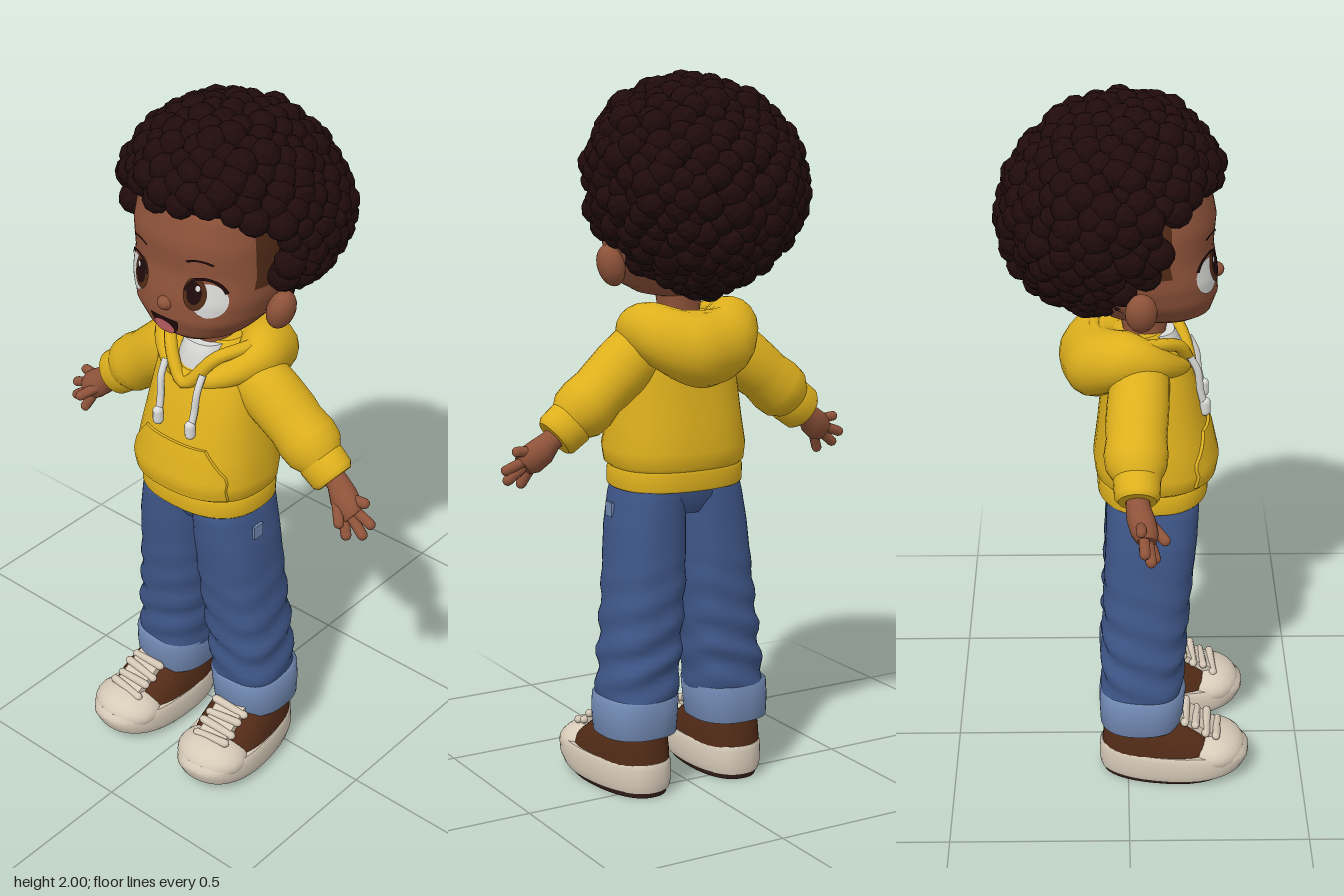
import * as THREE from 'three';
import { mergeGeometries } from 'three/addons/utils/BufferGeometryUtils.js';

const mat = (name, color) => {
  const m = new THREE.MeshStandardMaterial({ color });
  m.name = name;
  return m;
};
const V = (x, y, z) => new THREE.Vector3(x, y, z);
const pw = (v, e) => Math.sign(v) * Math.abs(v) ** e;

// Superellipse ring around c, spanned by u and v
function ring(c, u, v, ru, rv, n = 32, p = 2) {
  return Array.from({ length: n }, (_, i) => {
    const a = (i / n) * Math.PI * 2;
    return c.clone().addScaledVector(u, ru * pw(Math.cos(a), 2 / p)).addScaledVector(v, rv * pw(Math.sin(a), 2 / p));
  });
}

// Skin over a list of rings, with capped ends
function loft(rings, caps = true) {
  const n = rings[0].length, pos = rings.flat().flatMap(q => [q.x, q.y, q.z]), idx = [];
  for (let r = 0; r < rings.length - 1; r++) for (let i = 0; i < n; i++) {
    const a = r * n + i, b = r * n + (i + 1) % n;
    idx.push(a, a + n, b, b, a + n, b + n);
  }
  if (caps) [rings[0], rings.at(-1)].forEach((rg, end) => {
    const s = pos.length / 3, c = rg.reduce((t, q) => t.add(q), V(0, 0, 0)).divideScalar(n);
    [...rg, c].forEach(q => pos.push(q.x, q.y, q.z));
    for (let i = 0; i < n; i++) {
      const j = (i + 1) % n;
      idx.push(s + n, s + (end ? j : i), s + (end ? i : j));
    }
  });
  const g = new THREE.BufferGeometry();
  g.setAttribute('position', new THREE.Float32BufferAttribute(pos, 3));
  g.setIndex(idx);
  g.computeVertexNormals();
  return g;
}

// Upright body from rows [y, half width, front z, back z, centre x]
const X = V(1, 0, 0), Y = V(0, 1, 0), Z = V(0, 0, 1), P = 2.4;
const stack = (rows, n = 40) => loft(rows.map(([y, rx, zf, zb, cx = 0]) => ring(V(cx, y, (zf + zb) / 2), X, Z, rx, (zf - zb) / 2, n, P)));
const dense = (rows, k) => rows.flatMap((r, i) => i === rows.length - 1 ? [r]
  : Array.from({ length: k }, (_, j) => r.map((v, c) => v + (rows[i + 1][c] - v) * j / k)));
function frontZ(rows, x, y) {
  let i = 0;
  while (i < rows.length - 2 && y > rows[i + 1][0]) i++;
  const t = (y - rows[i][0]) / (rows[i + 1][0] - rows[i][0]);
  const [, rx, zf, zb] = rows[i].map((v, c) => v + (rows[i + 1][c] - v) * t);
  return (zf + zb) / 2 + (zf - zb) / 2 * Math.max(0, 1 - Math.abs(x / rx) ** P) ** (1 / P);
}
// Move every vertex by a rule
function bend(g, rule) {
  const p = g.attributes.position, q = V(0, 0, 0);
  for (let i = 0; i < p.count; i++) {
    rule(q.fromBufferAttribute(p, i));
    p.setXYZ(i, q.x, q.y, q.z);
  }
  g.computeVertexNormals();
  return g;
}
function mirror(g) {
  const m = g.clone().scale(-1, 1, 1), a = m.index.array;
  for (let i = 0; i < a.length; i += 3) [a[i], a[i + 1]] = [a[i + 1], a[i]];
  return m;
}
// Limb in the xy plane from rows [x, y, z, radius, depth radius]
function limb(rows, n = 24) {
  const pts = rows.map(r => V(r[0], r[1], r[2]));
  return loft(pts.map((c, i) => {
    const d = pts[Math.min(i + 1, pts.length - 1)].clone().sub(pts[Math.max(i - 1, 0)]).setZ(0).normalize();
    return ring(c, V(d.y, -d.x, 0), Z, rows[i][3], rows[i][4] ?? rows[i][3], n);
  }));
}
const tube = (pts, r, closed = false) => new THREE.TubeGeometry(
  new THREE.CatmullRomCurve3(pts.map(p => V(...p)), closed), closed ? 48 : 12, r, 8, closed);
const ball = (x, y, z, a, b, c) => new THREE.SphereGeometry(1, 20, 14).scale(a, b, c).translate(x, y, z);

export function createModel() {
  const root = new THREE.Group();
  const hair = mat('hair', 0x200b0c), skin = mat('skin', 0x8f533a), yellow = mat('hoodie yellow', 0xdeb01d),
    denim = mat('denim', 0x3e5688), cuffBlue = mat('light denim', 0x7189b3), cream = mat('cream rubber', 0xd6cab8),
    brown = mat('brown suede', 0x522b17), white = mat('white', 0xdadad8), pink = mat('tongue pink', 0xd06a70),
    tread = mat('dark tread', 0x38201a);
  const add = (name, g, m) => {
    const mesh = new THREE.Mesh(g, m);
    mesh.name = name;
    root.add(mesh);
  };
  const both = (name, g, m) => { add(name + 'Left', g, m); add(name + 'Right', mirror(g), m); };

  // Head, with faded hair at the temples
  const headRows = dense([[1.385, .04, .15, .02], [1.395, .09, .19, -.02], [1.42, .138, .222, -.08], [1.47, .183, .238, -.12],
    [1.53, .202, .236, -.15], [1.6, .206, .224, -.17], [1.68, .206, .23, -.17], [1.77, .193, .212, -.15], [1.86, .14, .15, -.1]], 4);
  const head = stack(headRows, 56), hp = head.attributes.position, parts = [[], []];
  for (let i = 0; i < head.index.count; i += 6) {
    const quad = [0, 1, 2, 3, 4, 5].map(k => head.index.getX(i + k));
    const [x, y, z] = ['getX', 'getY', 'getZ'].map(f => quad.reduce((s, k) => s + hp[f](k) / 6, 0));
    parts[Math.abs(x) > .14 && y > 1.57 && z < .11 ? 1 : 0].push(...quad);
  }
  parts.forEach((idx, i) => add(i ? 'templeFade' : 'head', head.clone().setIndex(idx), i ? brown : skin));
  add('nose', ball(0, 1.51, .233, .022, .02, .022), skin);
  both('ear', ball(0, 0, 0, .036, .058, .042).rotateZ(-.3).translate(.217, 1.483, .032), skin);
  add('neck', stack([[1.24, .062, .11, -.03], [1.33, .052, .1, -.01], [1.42, .06, .12, -.03]]), skin);

  // Painted face, draped over the head
  const decal = (cx, cy, rx, ry, lift, a0 = 0, span = Math.PI * 2, inner = 0) =>
    bend(new THREE.RingGeometry(inner, 1, 28, 4, a0, span), q => {
      q.x = cx + q.x * rx;
      q.y = cy + q.y * ry;
      q.z = frontZ(headRows, q.x, q.y) + lift;
    });
  both('eyeWhite', decal(.122, 1.546, .042, .048, .003), white);
  both('iris', decal(.09, 1.562, .031, .045, .005), brown);
  both('pupil', decal(.09, 1.565, .02, .031, .007), hair);
  both('eyeGlint', decal(.1, 1.581, .006, .008, .009), white);
  both('upperLash', decal(.113, 1.55, .055, .062, .006, .35, 2.5, .86), hair);
  both('eyebrow', decal(.1, 1.635, .045, .025, .004, .6, 1.9, .78), hair);
  add('mouth', decal(0, 1.472, .046, .055, .004, Math.PI, Math.PI), hair);
  add('tongue', decal(-.004, 1.44, .034, .023, .007), pink);

  // Hair: an inner cap cut open at the face, covered in curl clumps
  const hairPoint = (q, s) => q.set(q.x * .278 * s * (q.y < 0 ? 1 - .35 * q.y * q.y : 1), 1.69 + q.y * (q.y < 0 ? .265 : .27) * s,
    -.045 + q.z * .27 * s + q.y * (q.y < 0 ? .01 : .04));
  add('hairCap', bend(new THREE.SphereGeometry(1, 40, 48), q => {
    hairPoint(q, .98);
    if (q.y < 1.765) q.z = Math.min(q.z, q.y < 1.57 ? -.02 : .03);
  }), hair);
  let seed = 7;
  const rnd = () => (seed = (seed * 16807) % 2147483647) / 2147483647;
  const curls = [], count = 400;
  for (let i = 0; i < count; i++) {
    const y = 1 - 2 * (i + .5) / count, r = Math.sqrt(1 - y * y), a = i * 2.39996 + rnd() * .12;
    const c = hairPoint(V(r * Math.cos(a), y, r * Math.sin(a)), .97 + rnd() * .045);
    const size = .033 + rnd() * .012, turn = rnd() * 6;
    const hairline = 1.78 - .4 * Math.max(0, Math.abs(c.x) - .12);
    if ((c.y < hairline && c.z > .075) || (c.y < 1.57 && c.z > -.01)) continue;
    curls.push(new THREE.IcosahedronGeometry(size, 1).rotateX(turn).rotateY(turn * 2).translate(c.x, c.y, c.z));
  }
  const clumps = mergeGeometries(curls);
  clumps.computeVertexNormals();
  add('hairCurls', clumps, hair);

  // Hoodie body, hem and pouch pocket
  const torso = [[.915, .18, .212, -.078], [.928, .195, .235, -.09], [.97, .2, .243, -.095], [1.05, .187, .225, -.085],
    [1.15, .172, .195, -.075], [1.24, .158, .168, -.07], [1.3, .135, .13, -.065], [1.345, .08, .09, -.05]];
  add('hoodieBody', stack(torso), yellow);
  add('hoodieHem', stack([[.862, .185, .216, -.08], [.868, .19, .222, -.084], [.912, .19, .222, -.086], [.922, .18, .212, -.08]]), yellow);
  add('pouchPocket', bend(new THREE.BoxGeometry(2, 1, .016, 16, 8, 1), q => {
    const t = q.y + .5, lift = q.z;
    q.x *= t < .45 ? .165 : .165 - (t - .45) * .11;
    q.y = .935 + t * .145;
    q.z = frontZ(torso, q.x, q.y) + lift;
  }), yellow);

  // Hood lying around the neck
  const hood = [];
  for (let i = 0; i <= 48; i++) {
    const a = (i / 48) * Math.PI * 2, s = Math.sin(a), c = Math.cos(a), t = (1 - c) / 2;
    const fold = 1 + .04 * Math.sin(a * 9) * t;
    hood.push(ring(V(.135 * s, 1.242 + .062 * s * s + .012 * t, .03 + .115 * c), V(s, 0, c), Y,
      (.027 + .073 * t) * fold, .026 + .078 * t, 18));
  }
  add('hood', loft(hood, false), yellow);
  add('hoodRim', tube([[0, 1.237, .168], [.08, 1.325, .13], [.135, 1.35, .03], [.08, 1.348, -.06], [0, 1.345, -.09],
    [-.08, 1.348, -.06], [-.135, 1.35, .03], [-.08, 1.325, .13]], .018, true), yellow);
  add('shirtCollar', stack([[1.2, .08, .155, -.03], [1.3, .072, .145, -.02], [1.34, .062, .125, -.01]]), white);
  both('drawstring', tube([[.065, 1.285, .165], [.064, 1.24, .187], [.06, 1.18, .195], [.057, 1.13, .208]], .01), white);
  both('drawstringTip', new THREE.CapsuleGeometry(.015, .025, 4, 10).translate(.057, 1.13, .209), white);

  // Sleeves with gathered folds and cuffs
  both('sleeve', limb([[.08, 1.27, .03, .06], [.13, 1.25, .03, .085, .08], [.19, 1.205, .025, .084, .083], [.24, 1.165, .02, .08, .083],
    [.265, 1.145, .02, .077, .08], [.3, 1.115, .018, .083, .085], [.33, 1.09, .018, .08, .08], [.355, 1.068, .02, .06]]), yellow);
  both('sleeveCuff', limb([[.343, 1.078, .02, .058, .055], [.35, 1.07, .02, .068, .063], [.39, 1.04, .02, .066, .06], [.4, 1.032, .02, .056, .05]]), yellow);

  // Hands
  both('palm', limb([[.38, 1.047, .02, .03], [.41, 1.025, .022, .03, .032], [.435, .998, .03, .04, .038], [.465, .975, .038, .042, .036], [.483, .962, .043, .03, .026]], 16), skin);
  const fingers = [['indexFinger', .455, 1.0, .03, .512, 1.005, .028], ['middleFinger', .47, .98, .035, .54, .953, .038],
    ['ringFinger', .47, .965, .045, .527, .92, .055], ['littleFinger', .455, .955, .05, .48, .903, .068], ['thumb', .43, .99, .05, .475, .955, .095]];
  for (const [name, x, y, z, tx, ty, tz] of fingers) {
    const d = V(tx - x, ty - y, tz - z), len = d.length();
    const g = new THREE.CapsuleGeometry(.0145, len - .014, 4, 10).translate(0, len / 2, 0);
    g.applyQuaternion(new THREE.Quaternion().setFromUnitVectors(Y, d.normalize()));
    both(name, g.translate(x, y, z), skin);
  }

  // Jeans with creases and turned-up cuffs
  add('jeansSeat', stack([[.79, .13, .15, -.03], [.84, .165, .18, -.055], [.9, .165, .185, -.06]]), denim);
  const legRows = dense([[.19, .1, .145, -.07, .147], [.28, .109, .155, -.075, .14], [.42, .109, .162, -.072, .127], [.6, .108, .178, -.068, .109],
    [.75, .103, .192, -.062, .099], [.84, .094, .196, -.06, .091], [.9, .084, .186, -.055, .084]], 7);
  both('trouserLeg', bend(stack(legRows), q => {
    const k = .007 * Math.max(0, 1 - Math.abs(q.y - .4) / .3);
    q.z += k * Math.sin(q.y * 70 + q.x * 25);
    q.x += k * .8 * Math.sin(q.y * 62 + q.z * 20);
  }), denim);
  both('trouserCuff', stack([[.17, .1, .145, -.07, .148], [.172, .11, .155, -.08, .149], [.225, .114, .16, -.082, .148],
    [.274, .114, .164, -.082, .145], [.28, .1, .15, -.07, .143]]), cuffBlue);
  add('hipPatch', new THREE.BoxGeometry(.008, .04, .036).translate(.195, .8, .09), cuffBlue);

  // Shoes, toes turned slightly out and curling up
  const shoe = (name, g, m) => both(name, g.rotateY(.07).translate(.148, 0, 0), m);
  const shape = g => bend(g, q => {
    q.x *= .9 + .46 * Math.max(0, q.z + .08) * (1 - .6 * Math.max(0, q.z));
    if (q.y < .05) q.y += .022 * (Math.max(0, q.z - .12) / .2) ** 2;
  });
  shoe('outsole', shape(stack([[0, .095, .305, -.07], [.02, .106, .332, -.078]])), tread);
  shoe('sole', shape(stack([[.016, .108, .335, -.078], [.04, .116, .348, -.083], [.085, .115, .348, -.082], [.098, .108, .335, -.076]])), cream);
  shoe('shoeUpper', shape(stack([[.08, .107, .29, -.076], [.12, .104, .255, -.072], [.16, .094, .2, -.068], [.2, .08, .14, -.06]])), brown);
  shoe('toeCap', ball(0, .085, .248, .108, .058, .09), cream);
  shoe('shoeTongue', new THREE.BoxGeometry(.09, .026, .16).rotateX(.55).translate(0, .158, .205), cream);
  for (let i = 0; i < 4; i++) {
    const t = i / 3;
    shoe('lace' + (i + 1), new THREE.CapsuleGeometry(.012, .1, 4, 8).rotateZ(Math.PI / 2 + (i % 2 ? .1 : -.1))
      .translate(0, .193 - t * .053, .165 + t * .09), cream);
  }
  return root;
}
